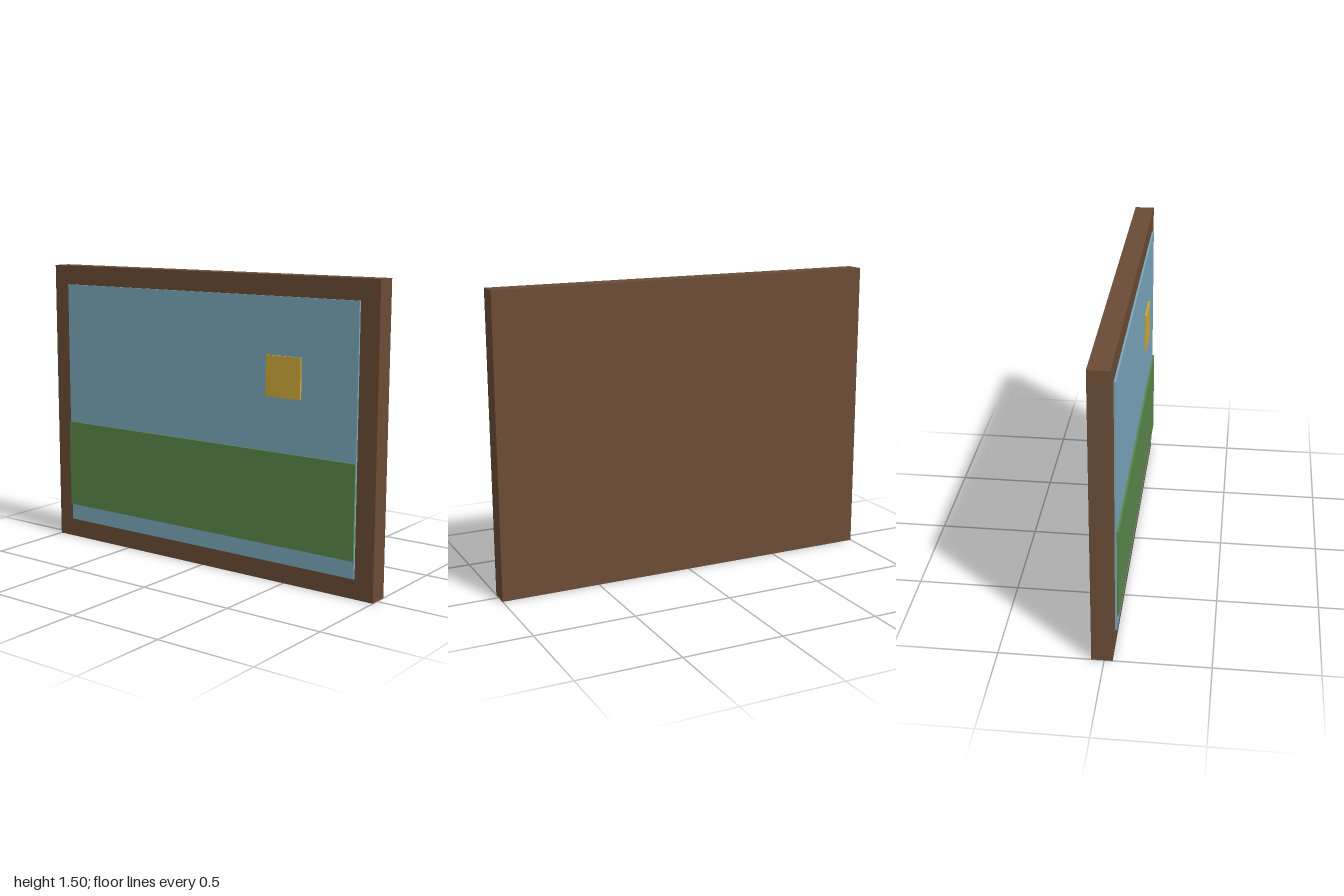
import * as THREE from 'three';

const material = (name, color) => {
  const m = new THREE.MeshStandardMaterial({ color });
  m.name = name;
  return m;
};

// Box given by its extents along each axis
function slab(name, mat, [x0, x1], [y0, y1], [z0, z1]) {
  const mesh = new THREE.Mesh(new THREE.BoxGeometry(x1 - x0, y1 - y0, z1 - z0), mat);
  mesh.position.set((x0 + x1) / 2, (y0 + y1) / 2, (z0 + z1) / 2);
  mesh.name = name;
  return mesh;
}

export function createModel() {
  const wood = material('brown wood', 0x6b4c35);
  const blue = material('sky blue', 0x7aa7bc);
  const green = material('meadow green', 0x5b874b);
  const yellow = material('sun yellow', 0xcfaa3a);

  const group = new THREE.Group();
  group.name = 'framedPicture';
  group.add(
    // Solid wooden backing whose border reads as the frame
    slab('frame', wood, [-1, 1], [0, 1.5], [-0.06, 0.04]),
    // Thin layered picture: sky, then meadow and sun on top of it
    slab('sky', blue, [-0.9, 0.9], [0.1, 1.4], [0.04, 0.05]),
    slab('meadow', green, [-0.9, 0.9], [0.188, 0.652], [0.05, 0.06]),
    slab('sun', yellow, [0.4, 0.596], [0.92, 1.12], [0.05, 0.06]),
  );
  return group;
}
